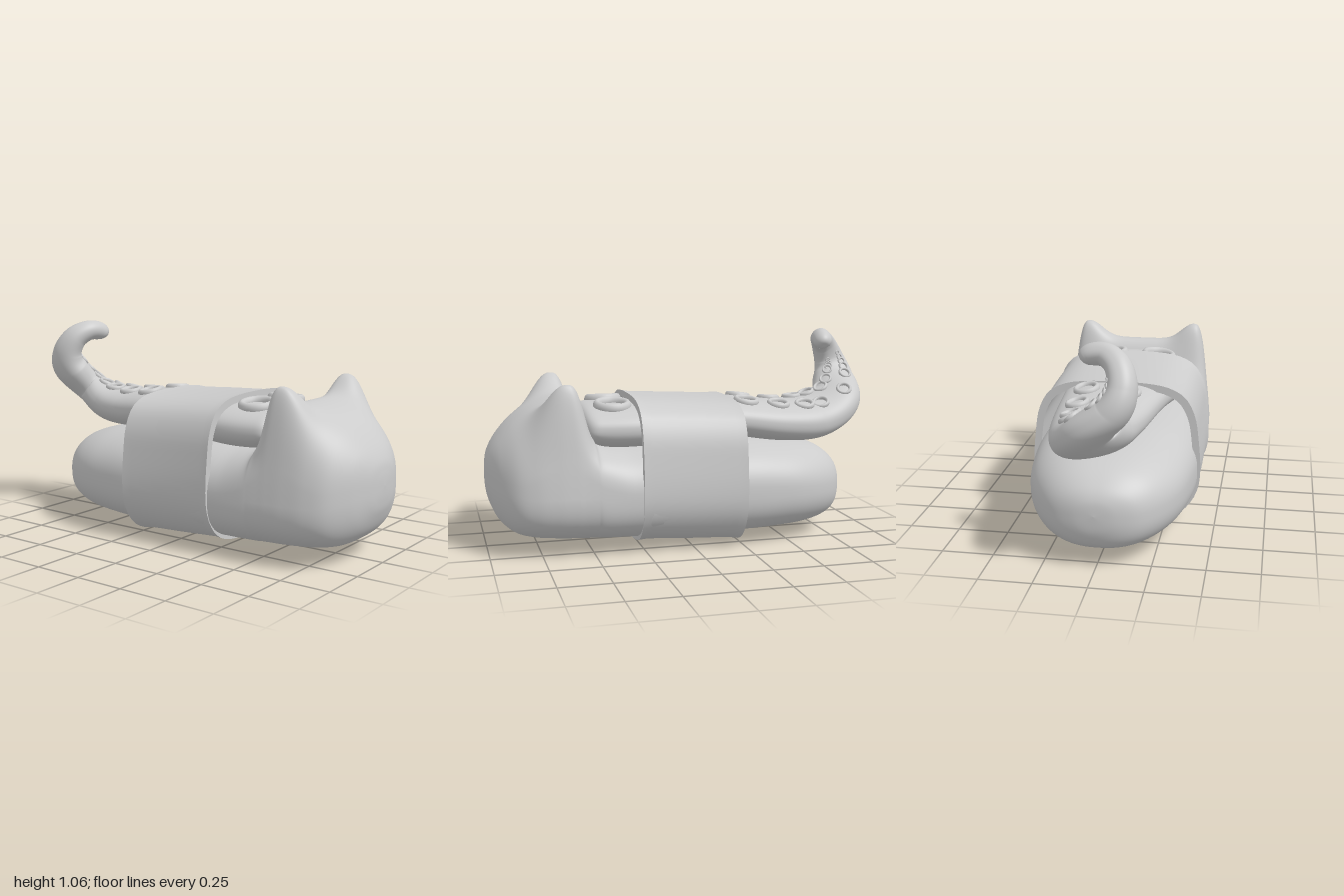
import * as THREE from 'three';
import { toCreasedNormals } from 'three/addons/utils/BufferGeometryUtils.js';

const V = (x, y, z) => new THREE.Vector3(x, y, z);
const { smoothstep, lerp } = THREE.MathUtils;
const material = new THREE.MeshStandardMaterial({ color: 0xcccccc, side: THREE.DoubleSide });

// Smooth interpolation through rows of numbers; u is a fractional row index.
function sample(rows, u) {
  const last = rows.length - 1;
  const i = Math.min(Math.floor(u), last - 1), t = u - i;
  const at = (k) => rows[Math.max(0, Math.min(last, k))];
  return rows[0].map((_, c) => {
    const p0 = at(i - 1)[c], p1 = at(i)[c], p2 = at(i + 1)[c], p3 = at(i + 2)[c];
    const v0 = (p2 - p0) / 2, v1 = (p3 - p1) / 2;
    return (2 * p1 - 2 * p2 + v0 + v1) * t ** 3 + (3 * p2 - 3 * p1 - 2 * v0 - v1) * t * t + v0 * t + p1;
  });
}

// Skin a series of closed rings (each with the same number of points).
function loft(rings) {
  const n = rings[0].length, index = [];
  for (let i = 0; i < rings.length - 1; i++) {
    for (let j = 0; j < n; j++) {
      const a = i * n + j, b = i * n + (j + 1) % n;
      index.push(a, a + n, b, b, a + n, b + n);
    }
  }
  const geometry = new THREE.BufferGeometry().setFromPoints(rings.flat());
  geometry.setIndex(index);
  geometry.computeVertexNormals();
  return geometry;
}

// Unit superellipse ring with separate squareness above and below
function superRing(around, upper, lower) {
  return Array.from({ length: around }, (_, j) => {
    const angle = (j / around) * Math.PI * 2;
    const c = Math.cos(angle), s = Math.sin(angle), n = s > 0 ? upper : lower;
    return [Math.sign(c) * Math.abs(c) ** (2 / n), Math.sign(s) * Math.abs(s) ** (2 / n)];
  });
}

function addMesh(parent, name, geometry) {
  const mesh = new THREE.Mesh(geometry, material);
  mesh.name = name;
  parent.add(mesh);
  return mesh;
}

// Body: z, half width, bottom, top
const BODY = [
  [1.0, 0, 0.37, 0.37], [0.996, 0.07, 0.3, 0.43], [0.982, 0.14, 0.235, 0.49], [0.94, 0.24, 0.15, 0.56],
  [0.87, 0.33, 0.09, 0.635], [0.78, 0.375, 0.065, 0.695], [0.68, 0.395, 0.055, 0.73], [0.6, 0.402, 0.05, 0.735],
  [0.55, 0.404, 0.048, 0.69], [0.5, 0.406, 0.046, 0.58], [0.44, 0.408, 0.044, 0.52], [0.2, 0.41, 0.04, 0.53],
  [-0.2, 0.41, 0.038, 0.53], [-0.45, 0.385, 0.04, 0.51], [-0.6, 0.345, 0.045, 0.49], [-0.72, 0.28, 0.065, 0.455],
  [-0.8, 0.2, 0.105, 0.4], [-0.84, 0.1, 0.18, 0.34], [-0.85, 0, 0.27, 0.27],
];

// Raise the two upper corners of the head into ears with a steep back
function earLift(x, y, z) {
  const across = Math.abs((Math.abs(x) - 0.3) / 0.105) ** 2.2;
  const depth = z > 0.625 ? ((z - 0.625) / 0.12) ** 2.2 : ((0.625 - z) / 0.075) ** 3;
  return Math.max(0, 0.832 - y) * Math.exp(-across - depth) * smoothstep(y, 0.42, 0.66);
}

function bodyGeometry() {
  const rings = [], steps = (BODY.length - 1) * 7;
  for (let i = 0; i <= steps; i++) {
    const [z, w, bottom, top] = sample(BODY, i / 7);
    const round = 2.4 + 0.35 * smoothstep(z, -0.7, -0.25);
    const head = 1.6 * smoothstep(z, 0.3, 0.5) * (1 - smoothstep(z, 0.65, 0.95));
    // height of the widest line
    const mid = Math.max(bottom, Math.min((bottom + top) / 2, 0.3 + 0.07 * smoothstep(z, 0.8, 1)));
    rings.push(superRing(112, round + head, round).map(([c, s]) => {
      const y = mid + s * (s > 0 ? top - mid : mid - bottom);
      const x = w * c * (1 - 0.13 * smoothstep(y, 0.28, 0.75));
      return V(x, y + earLift(x, y, z), z);
    }));
  }
  return loft(rings);
}

// Tentacle: centre x, y, z, half width, half thickness, twist
const ARM = [
  [0, 0.6, 0.545, 0.285, 0.105, 0], [0, 0.6, 0.25, 0.31, 0.115, 0], [0.01, 0.62, -0.1, 0.265, 0.1, 0],
  [0.02, 0.62, -0.25, 0.248, 0.098, 0], [0.043, 0.592, -0.5, 0.218, 0.102, 0.04],
  [0.04, 0.602, -0.7, 0.19, 0.102, 0.18], [0.01, 0.68, -0.855, 0.142, 0.085, 0.5],
  [-0.1, 0.79, -0.895, 0.108, 0.08, 0.8], [-0.135, 0.88, -0.885, 0.082, 0.068, 0.9],
  [-0.115, 0.962, -0.845, 0.065, 0.06, 0.9], [-0.055, 1.003, -0.8, 0.053, 0.052, 0.9],
  [0.015, 0.998, -0.78, 0.048, 0.047, 0.9], [0.05, 0.965, -0.775, 0.04, 0.04, 0.9],
];
const ARM_STEPS = 24;
const ARM_ROUND = 2.4;

// Frames carried along the tentacle, then turned by its twist
function armFrames() {
  const frames = [], side = V(1, 0, 0), count = (ARM.length - 1) * ARM_STEPS;
  const at = (i) => V(...sample(ARM, Math.max(0, Math.min(count, i)) / ARM_STEPS));
  for (let i = 0; i <= count; i++) {
    const [, , , w, h, twist] = sample(ARM, i / ARM_STEPS);
    const along = at(i + 1).sub(at(i - 1)).normalize();
    side.addScaledVector(along, -side.dot(along)).normalize();
    const turned = side.clone().applyAxisAngle(along, twist);
    frames.push({ p: at(i), side: turned, up: turned.clone().cross(along), w, h });
  }
  return frames;
}

function armGeometry(frames) {
  const count = frames.length - 1;
  return loft(frames.map((f, i) => {
    // rounded ends, with the lower front edge rounder than the rest
    const cap = (steps, power) => (1 - (1 - Math.min(1, i / steps)) ** power) ** (1 / power);
    const tip = Math.sqrt(1 - (1 - Math.min(1, (count - i) / 18)) ** 2);
    const wide = cap(9, 3) * tip, under = cap(15, 2) * tip;
    return superRing(64, ARM_ROUND, lerp(2.3, 2.1, i / count)).map(([c, s]) => f.p.clone()
      .addScaledVector(f.side, c * f.w * wide)
      .addScaledVector(f.up, s * f.h * (s > 0 ? wide : under)));
  }));
}

// Suckers: position along the tentacle, outer radius
const SUCKERS = [
  [0.62, 0.095], [3.3, 0.066], [3.95, 0.06], [4.65, 0.053], [5.25, 0.046], [6.0, 0.041],
  [6.6, 0.035], [7.1, 0.028], [7.55, 0.022], [7.95, 0.017], [8.3, 0.013],
];

function addSuckers(parent, frames) {
  const group = new THREE.Group();
  group.name = 'suckers';
  const offset = 0.43, lift = (1 - offset ** ARM_ROUND) ** (1 / ARM_ROUND);
  for (const [u, radius] of SUCKERS) {
    for (const dir of [-1, 1]) {
      // the rows towards the tip are staggered
      const f = frames[Math.round((u + (u > 5.5 ? dir * 0.1 : 0)) * ARM_STEPS)];
      const tube = radius * 0.2;
      // lean outward with the curved surface
      const slope = (f.h / f.w) * (offset / lift) ** (ARM_ROUND - 1);
      const normal = f.up.clone().addScaledVector(f.side, dir * slope).normalize();
      const ring = addMesh(group, 'sucker', new THREE.TorusGeometry(radius - tube, tube, 12, 32));
      ring.position.copy(f.p).addScaledVector(f.side, dir * offset * f.w).addScaledVector(f.up, f.h * lift);
      ring.quaternion.setFromUnitVectors(V(0, 0, 1), normal);
      ring.scale.z = 1.4;
    }
  }
  parent.add(group);
}

// Band: half outline from top to bottom, mirrored and wrapped round the body
function bandGeometry() {
  const half = [[0, 0.737], [0.15, 0.733], [0.26, 0.715], [0.34, 0.67], [0.39, 0.58], [0.412, 0.45], [0.423, 0.3],
    [0.415, 0.21], [0.385, 0.135], [0.33, 0.07], [0.25, 0.03], [0.12, 0.014], [0, 0.011]];
  const left = half.slice(1, -1).reverse().map(([x, y]) => [-x, y]);
  const outline = new THREE.CatmullRomCurve3([...half, ...left].map(([x, y]) => V(x, y, 0)), true)
    .getSpacedPoints(72).slice(0, -1).reverse();
  const ring = (z, inset) => outline.map((p) => V(
    p.x * (1 - inset / 0.42), 0.37 + (p.y - 0.37) * (1 - inset / 0.37) + z * 0.05, z));
  // slightly flared rims
  const profile = [[0.28, 0], [0.23, 0.007], [0, 0.005], [-0.19, 0.006], [-0.24, 0],
    [-0.24, 0.035], [0.28, 0.035], [0.28, 0]];
  return toCreasedNormals(loft(profile.map(([z, inset]) => ring(z, inset))), 0.6);
}

export function createModel() {
  const model = new THREE.Group();
  model.name = 'catRoll';
  addMesh(model, 'catBody', bodyGeometry());
  const frames = armFrames();
  addMesh(model, 'tentacle', armGeometry(frames));
  addSuckers(model, frames);
  addMesh(model, 'band', bandGeometry());
  return model;
}
